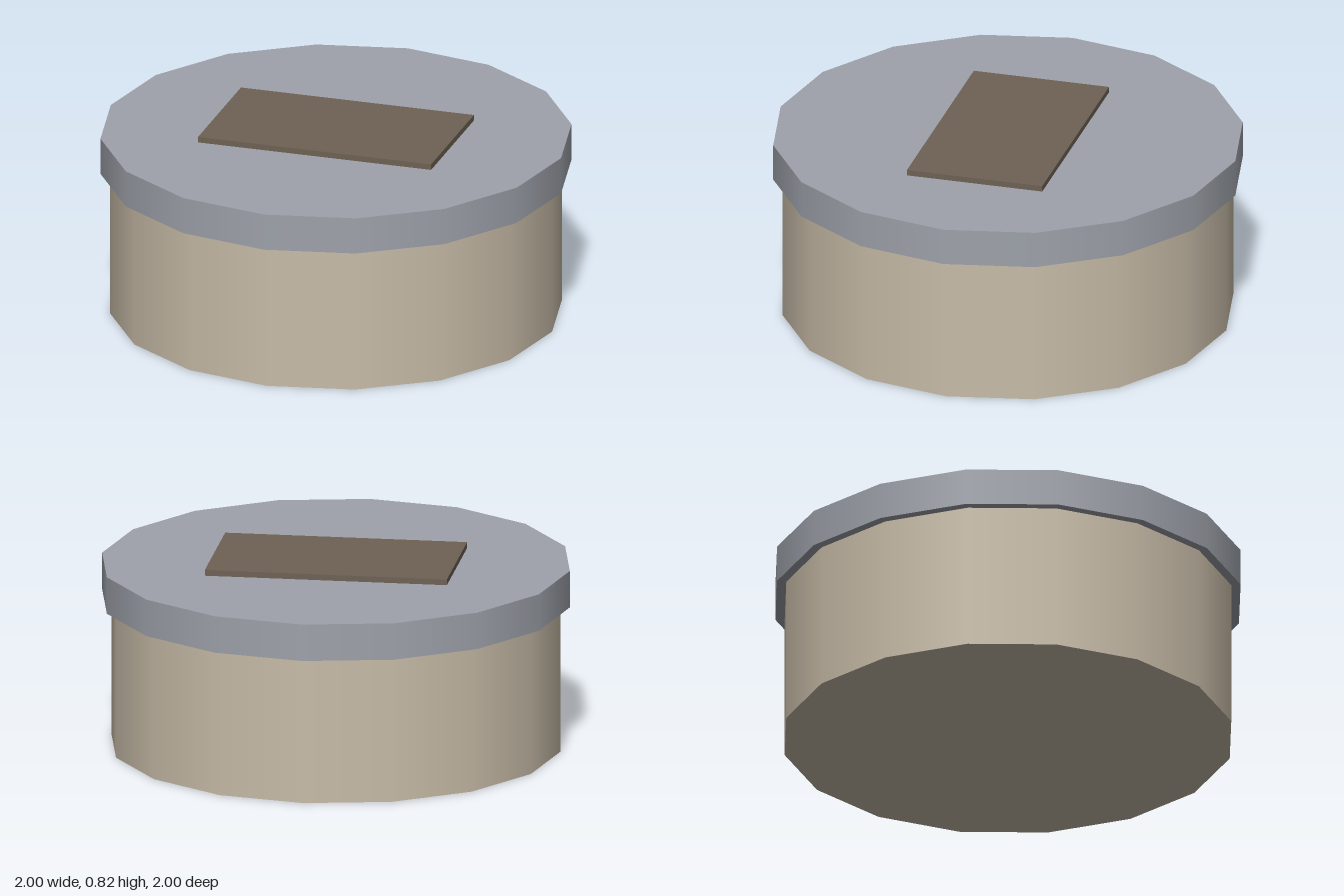
import * as THREE from 'three';

const SIDES = 16;

export function createModel() {
  const group = new THREE.Group();
  const material = (name, color) => {
    const m = new THREE.MeshStandardMaterial({ color });
    m.name = name;
    return m;
  };
  const add = (name, geometry, mat, bottom, height) => {
    const mesh = new THREE.Mesh(geometry, mat);
    mesh.name = name;
    mesh.position.y = bottom + height / 2;
    group.add(mesh);
  };
  const drum = (radius, height) => new THREE.CylinderGeometry(radius, radius, height, SIDES);

  // Round container body
  add('body', drum(0.96, 0.635), material('beige', 0xc8bca8), 0, 0.635);
  // Overhanging lid
  add('lid', drum(1, 0.16), material('grey', 0x9ea2aa), 0.635, 0.16);
  // Raised rectangular plate on the lid
  add('label', new THREE.BoxGeometry(1.035, 0.025, 0.595), material('brown', 0x6e6254), 0.795, 0.025);

  return group;
}
